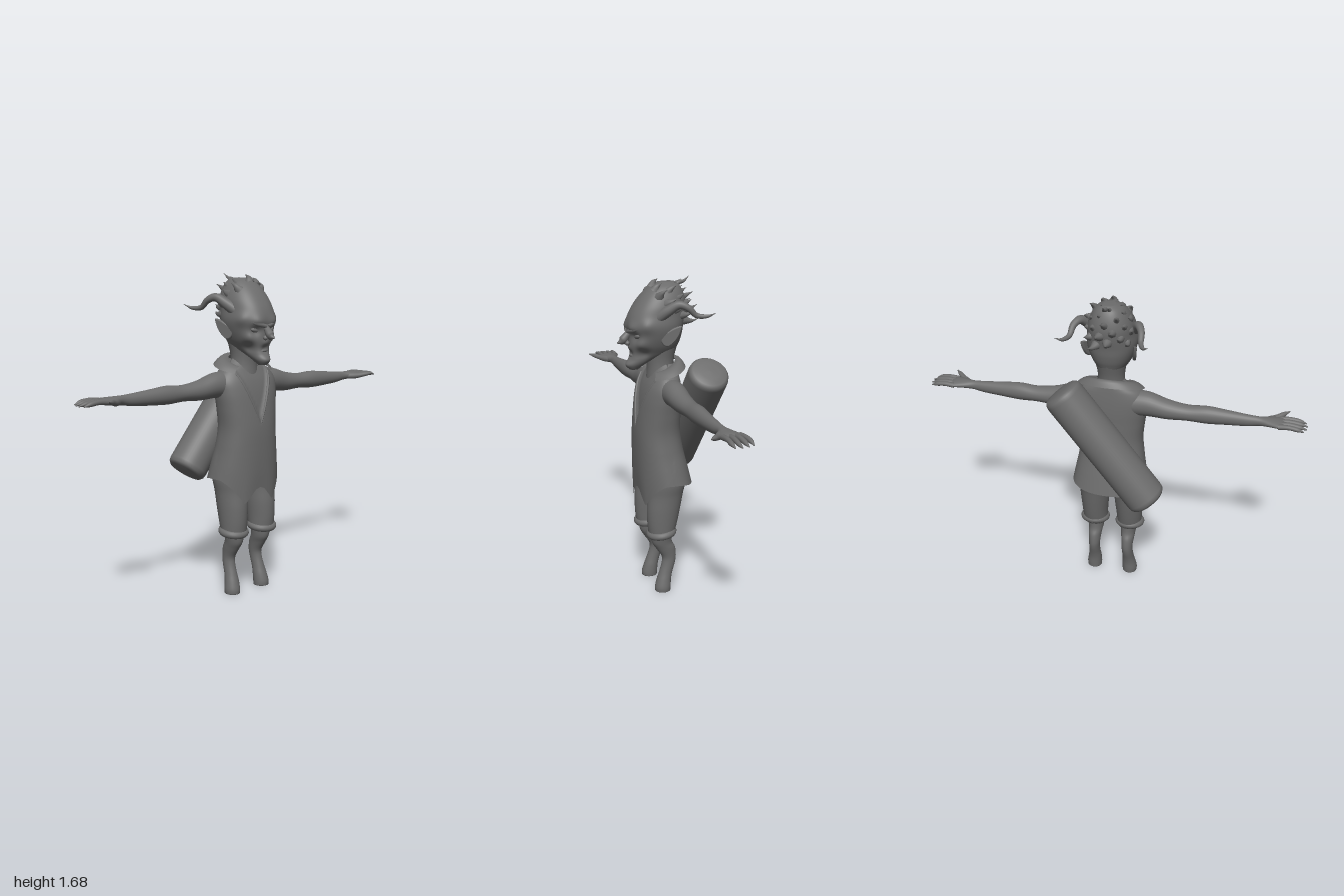
import * as THREE from 'three';
import { mergeVertices } from 'three/addons/utils/BufferGeometryUtils.js';

const material = new THREE.MeshStandardMaterial({ color: 0x6c6c6c, side: THREE.DoubleSide });
const V = (x, y, z) => new THREE.Vector3(x, y, z);

// Smooth interpolation through rows of numbers
function sample(rows, t) {
  const f = t * (rows.length - 1), i = Math.min(Math.floor(f), rows.length - 2), u = f - i;
  const [a, b, c, d] = [i - 1, i, i + 1, i + 2].map(k => rows[Math.max(0, Math.min(rows.length - 1, k))]);
  return b.map((_, k) => b[k] + 0.5 * u * (c[k] - a[k] + u * (2 * a[k] - 5 * b[k] + 4 * c[k] - d[k]
    + u * (3 * (b[k] - c[k]) + d[k] - a[k]))));
}

// Skin over oval rings [y, centreX, halfWidthX, frontZ, backZ]; bend(v) may move each vertex
function loft(rows, { sides = 24, steps = 40, power = 2, caps = true, bend } = {}) {
  const rings = Array.from({ length: steps + 1 }, (_, i) => sample(rows, i / steps));
  if (caps) {
    const point = ([y, x, , f, b]) => [y, x, 0, (f + b) / 2, (f + b) / 2];
    rings.unshift(point(rings[0]));
    rings.push(point(rings[rings.length - 1]));
  }
  const pos = [], index = [];
  const round = s => Math.sign(s) * Math.abs(s) ** (2 / power);
  rings.forEach(([y, cx, rx, f, b], j) => {
    for (let i = 0; i < sides; i++) {
      const a = i / sides * Math.PI * 2;
      const p = V(cx + rx * round(Math.sin(a)), y, (f + b) / 2 + (f - b) / 2 * round(Math.cos(a)));
      if (bend) bend(p);
      pos.push(p.x, p.y, p.z);
      if (j < rings.length - 1) {
        const k = j * sides + i, n = j * sides + (i + 1) % sides;
        index.push(k, n, n + sides, k, n + sides, k + sides);
      }
    }
  });
  const g = new THREE.BufferGeometry();
  g.setAttribute('position', new THREE.Float32BufferAttribute(pos, 3));
  g.setIndex(index);
  g.computeVertexNormals();
  return g;
}

// Tube along points whose radius follows a list
function taper(points, radii, steps = 20, sides = 10) {
  const curve = new THREE.CatmullRomCurve3(points);
  const g = new THREE.TubeGeometry(curve, steps, 1, sides);
  const p = g.attributes.position, v = V();
  for (let i = 0; i < p.count; i++) {
    const t = Math.floor(i / (sides + 1)) / steps, c = curve.getPointAt(t);
    v.fromBufferAttribute(p, i).sub(c).multiplyScalar(sample(radii.map(r => [r]), t)[0]).add(c);
    p.setXYZ(i, v.x, v.y, v.z);
  }
  g.deleteAttribute('uv');
  g.deleteAttribute('normal');
  const m = mergeVertices(g, 1e-5);
  m.computeVertexNormals();
  return m;
}

// Copy for the other side, with corner order swapped back
function mirrored(g) {
  const m = g.index ? g.toNonIndexed() : g.clone();
  m.scale(-1, 1, 1);
  for (const a of Object.values(m.attributes)) {
    for (let i = 0; i < a.count; i += 3) {
      for (let k = 0; k < a.itemSize; k++) {
        const s = a.getComponent(i + 1, k);
        a.setComponent(i + 1, k, a.getComponent(i + 2, k));
        a.setComponent(i + 2, k, s);
      }
    }
  }
  return m;
}

export function createModel() {
  const model = new THREE.Group();
  const add = (name, g) => {
    const mesh = new THREE.Mesh(g, material);
    mesh.name = name;
    model.add(mesh);
    return mesh;
  };
  const pair = (name, g) => { add(name + 'Left', g); add(name + 'Right', mirrored(g)); };

  // Waistcoat: pointed front hem, V opening set back from the surface
  const hemFront = [[0, 0.585], [0.03, 0.575], [0.095, 0.505], [0.15, 0.58], [0.198, 0.635], [0.3, 0.635]];
  const hemAt = p => {
    if (p.z < 0.03) return 0.635 + Math.min(0, p.z) * 0.2;
    const x = Math.abs(p.x), i = Math.max(1, hemFront.findIndex(h => x <= h[0]));
    const [a, b] = [hemFront[i - 1], hemFront[i]];
    return a[1] + (b[1] - a[1]) * (x - a[0]) / (b[0] - a[0]);
  };
  add('waistcoat', loft([
    [0.62, 0, 0.205, 0.165, -0.115], [0.7, 0, 0.192, 0.172, -0.095], [0.8, 0, 0.175, 0.176, -0.07],
    [0.9, 0, 0.165, 0.175, -0.055], [1, 0, 0.175, 0.165, -0.053], [1.08, 0, 0.186, 0.152, -0.053],
    [1.14, 0, 0.186, 0.135, -0.05], [1.19, 0, 0.155, 0.112, -0.045], [1.225, 0, 0.1, 0.095, -0.04],
    [1.25, 0, 0.07, 0.08, -0.035]], {
    sides: 128, steps: 90, power: 2.3, caps: false,
    bend: p => {
      const open = (p.y - 0.92) * 0.42 - Math.abs(p.x);
      if (p.z > 0.03 && open > 0) p.z -= 0.014 * Math.min(1, open / 0.02);
      if (p.y < 0.8) p.y = 0.8 - (0.8 - p.y) * (0.8 - hemAt(p)) / 0.18;
    },
  }));
  pair('lapelEdge', taper([V(0, 0.92, 0.171), V(0.034, 1, 0.161), V(0.067, 1.08, 0.144), V(0.092, 1.14, 0.123),
    V(0.109, 1.18, 0.099)], [0.004, 0.006, 0.007, 0.006], 30));

  // Wide collar around the neck, open at the front
  const collar = new THREE.PlaneGeometry(1, 1, 60, 6), cp = collar.attributes.position;
  for (let i = 0; i < cp.count; i++) {
    const u = cp.getX(i) + 0.5, w = cp.getY(i) + 0.5;
    const a = THREE.MathUtils.lerp(0.8, Math.PI * 2 - 0.8, u), c = Math.cos(a);
    cp.setXYZ(i, Math.sin(a) * (0.08 + 0.095 * w), 1.232 - 0.035 * c - 0.025 * w * w + 0.012 * Math.sin(w * Math.PI),
      0.03 + c * (0.07 + 0.045 * w));
  }
  collar.computeVertexNormals();
  add('collar', collar);

  // Neck and head with bumps [x, y, z, reach, push] for the face
  add('neck', loft([[1.14, 0, 0.08, 0.11, -0.035], [1.22, 0, 0.07, 0.105, -0.032],
    [1.28, 0, 0.07, 0.11, -0.038], [1.36, 0, 0.085, 0.12, -0.06]]));
  const bumps = [[0.055, 1.4, 0.19, 0.03, -0.014], [0.05, 1.44, 0.2, 0.03, 0.01], [0.1, 1.455, 0.14, 0.03, 0.01],
    [0.08, 1.36, 0.16, 0.03, 0.012], [0, 1.31, 0.19, 0.022, -0.016], [0, 1.335, 0.2, 0.018, 0.008],
    [0, 1.25, 0.21, 0.025, 0.008], [0.06, 1.31, 0.15, 0.03, -0.014]];
  add('head', loft([[1.225, 0, 0.022, 0.2, 0.155], [1.25, 0, 0.04, 0.214, 0.12], [1.28, 0, 0.056, 0.203, 0.06],
    [1.31, 0, 0.074, 0.2, -0.03], [1.35, 0, 0.098, 0.203, -0.058], [1.4, 0, 0.117, 0.205, -0.073],
    [1.45, 0, 0.127, 0.212, -0.08], [1.5, 0, 0.121, 0.2, -0.09], [1.55, 0, 0.114, 0.172, -0.094],
    [1.6, 0, 0.095, 0.132, -0.084], [1.64, 0, 0.067, 0.085, -0.065], [1.66, 0, 0.03, 0.035, -0.04]], {
    sides: 72, steps: 90, power: 2.25,
    bend: p => {
      const out = V(p.x, 0, p.z - 0.05).normalize(), at = V(Math.abs(p.x), p.y, p.z);
      for (const [x, y, z, r, push] of bumps) {
        p.addScaledVector(out, push * Math.exp(-at.distanceToSquared(V(x, y, z)) / (r * r)));
      }
    },
  }));
  add('nose', taper([V(0, 1.425, 0.195), V(0, 1.395, 0.22), V(0, 1.372, 0.241), V(0, 1.364, 0.264)],
    [0.012, 0.018, 0.021, 0.004]));
  pair('nostril', new THREE.SphereGeometry(0.012, 16, 12).translate(0.016, 1.363, 0.216));
  pair('eye', new THREE.SphereGeometry(0.022, 20, 14).scale(1.2, 0.55, 0.6).rotateZ(0.25).translate(0.052, 1.4, 0.176));
  pair('brow', taper([V(0.005, 1.42, 0.211), V(0.05, 1.433, 0.197), V(0.098, 1.453, 0.147), V(0.122, 1.45, 0.07)],
    [0.01, 0.013, 0.011, 0.002]));
  add('lowerLip', taper([V(-0.045, 1.298, 0.168), V(0, 1.297, 0.194), V(0.045, 1.298, 0.168)], [0.002, 0.007, 0.002]));

  // Pointed ears leaning outward
  const earShape = new THREE.Shape();
  earShape.moveTo(-0.07, 1.395);
  earShape.quadraticCurveTo(-0.06, 1.35, -0.035, 1.36);
  earShape.quadraticCurveTo(0.005, 1.385, 0.022, 1.45);
  earShape.quadraticCurveTo(-0.02, 1.44, -0.07, 1.395);
  const ear = new THREE.ExtrudeGeometry(earShape, { depth: 0.006, bevelSize: 0.005, bevelThickness: 0.005, bevelSegments: 3 });
  ear.rotateY(Math.PI / 2);
  const ep = ear.attributes.position;
  for (let i = 0; i < ep.count; i++) ep.setX(i, ep.getX(i) + 0.103 + (0.07 - ep.getZ(i)) * 0.32);
  ear.computeVertexNormals();
  pair('ear', ear);

  // Curled horns
  pair('horn', taper([V(0.09, 1.49, 0.085), V(0.122, 1.53, 0.04), V(0.15, 1.562, -0.01), V(0.17, 1.547, -0.05),
    V(0.178, 1.51, -0.09), V(0.2, 1.507, -0.14), V(0.23, 1.525, -0.17)], [0.03, 0.028, 0.023, 0.018, 0.014, 0.01, 0.001], 40, 14));

  // Tufts of hair swept back over the crown
  for (let i = 0; i < 46; i++) {
    const h = 0.95 - i / 46 * 1.25, a = i * 2.4, s = Math.sqrt(1 - h * h);
    const d = V(s * Math.sin(a), h, s * Math.cos(a));
    if (d.z > 0.55 - 0.6 * (1 - h) || (h < 0.4 && d.z > -0.3)) continue;
    const root = V(d.x * 0.106, 1.5 + d.y * 0.143, 0.04 + d.z * 0.122);
    const len = 0.024 + 0.012 * Math.sin(i * 5.3);
    const mid = root.clone().addScaledVector(d, len * 0.9).add(V(0, 0.002, -0.014));
    const tip = mid.clone().addScaledVector(d, len * 0.25).add(V(0.008 * Math.sin(i * 3.1), 0.012, -0.026));
    add('hairTuft', taper([root, mid, tip], [0.027, 0.012, 0.001], 10, 8));
  }
  add('hairCurl', taper([V(0, 1.61, -0.03), V(0.005, 1.65, -0.06), V(0.005, 1.658, -0.09), V(0, 1.682, -0.122)],
    [0.022, 0.013, 0.008, 0.001]));

  // Arms, lofted upright and then laid along x
  const arm = loft([[0.1, 0.12, 0.07, 0.095, -0.035], [0.2, 0.122, 0.064, 0.09, -0.03], [0.3, 0.105, 0.051, 0.082, -0.022],
    [0.4, 0.1, 0.041, 0.075, -0.014], [0.5, 0.1, 0.046, 0.075, -0.008], [0.6, 0.098, 0.039, 0.07, 0.002],
    [0.7, 0.097, 0.031, 0.062, 0.01], [0.76, 0.1, 0.024, 0.06, 0.014], [0.81, 0.102, 0.021, 0.078, 0],
    [0.86, 0.104, 0.017, 0.09, -0.016], [0.885, 0.104, 0.011, 0.088, -0.016]].map(([t, y, ...r]) => [t, -y - 1, ...r]),
  { sides: 28, steps: 60 }).translate(1, 0, 0).rotateZ(-Math.PI / 2).translate(0, 1, 0);
  pair('arm', arm.translate(0, -1 + 1, 0).translate(0, -1, 0).translate(0, 1, 0));
  [[-0.006, -0.012, 0.985], [0.02, 0.018, 0.997], [0.047, 0.05, 1], [0.076, 0.08, 0.992]].forEach(([z0, z1, x]) =>
    pair('finger', taper([V(0.86, 1.104, z0), V(0.91, 1.109, (z0 + z1) / 2), V(0.955, 1.104, z1), V(x, 1.095, z1)],
      [0.014, 0.013, 0.012, 0.011, 0.003])));
  pair('thumb', taper([V(0.79, 1.098, 0.05), V(0.835, 1.1, 0.088), V(0.87, 1.108, 0.118), V(0.902, 1.115, 0.148)],
    [0.018, 0.018, 0.014, 0.012, 0.003]));

  // Breeches, rolled cuffs and goat-like lower legs
  pair('breeches', loft([[0.33, 0.097, 0.066, 0.135, 0], [0.4, 0.098, 0.07, 0.143, -0.018], [0.48, 0.097, 0.076, 0.145, -0.035],
    [0.56, 0.096, 0.081, 0.14, -0.05], [0.64, 0.095, 0.09, 0.14, -0.065], [0.74, 0.085, 0.085, 0.13, -0.05]], { sides: 32 }));
  pair('cuff', new THREE.TorusGeometry(0.061, 0.02, 14, 40).rotateX(Math.PI / 2 + 0.14).translate(0.1, 0.346, 0.068));
  pair('lowerLeg', loft([[0.005, 0.104, 0.04, 0.104, 0.02], [0.03, 0.104, 0.041, 0.104, 0.018], [0.07, 0.101, 0.037, 0.093, 0.015],
    [0.11, 0.099, 0.032, 0.079, 0.006], [0.16, 0.097, 0.03, 0.064, -0.01], [0.2, 0.095, 0.031, 0.064, -0.016],
    [0.25, 0.095, 0.036, 0.095, -0.01], [0.29, 0.094, 0.042, 0.118, 0.008], [0.35, 0.096, 0.05, 0.125, 0.01]], { sides: 28 }));

  // Rolled pack with softly rounded ends, slung diagonally across the back
  const end = [[0, 0.377], [0.05, 0.375], [0.088, 0.368], [0.101, 0.355], [0.105, 0.335]];
  const profile = [...end.map(([x, y]) => new THREE.Vector2(x, -y)), ...end.map(([x, y]) => new THREE.Vector2(x, y)).reverse()];
  const pack = add('backRoll', new THREE.LatheGeometry(profile, 48));
  pack.position.set(-0.018, 0.94, -0.15);
  pack.rotation.z = -Math.atan2(0.626, 0.78);

  return model;
}
